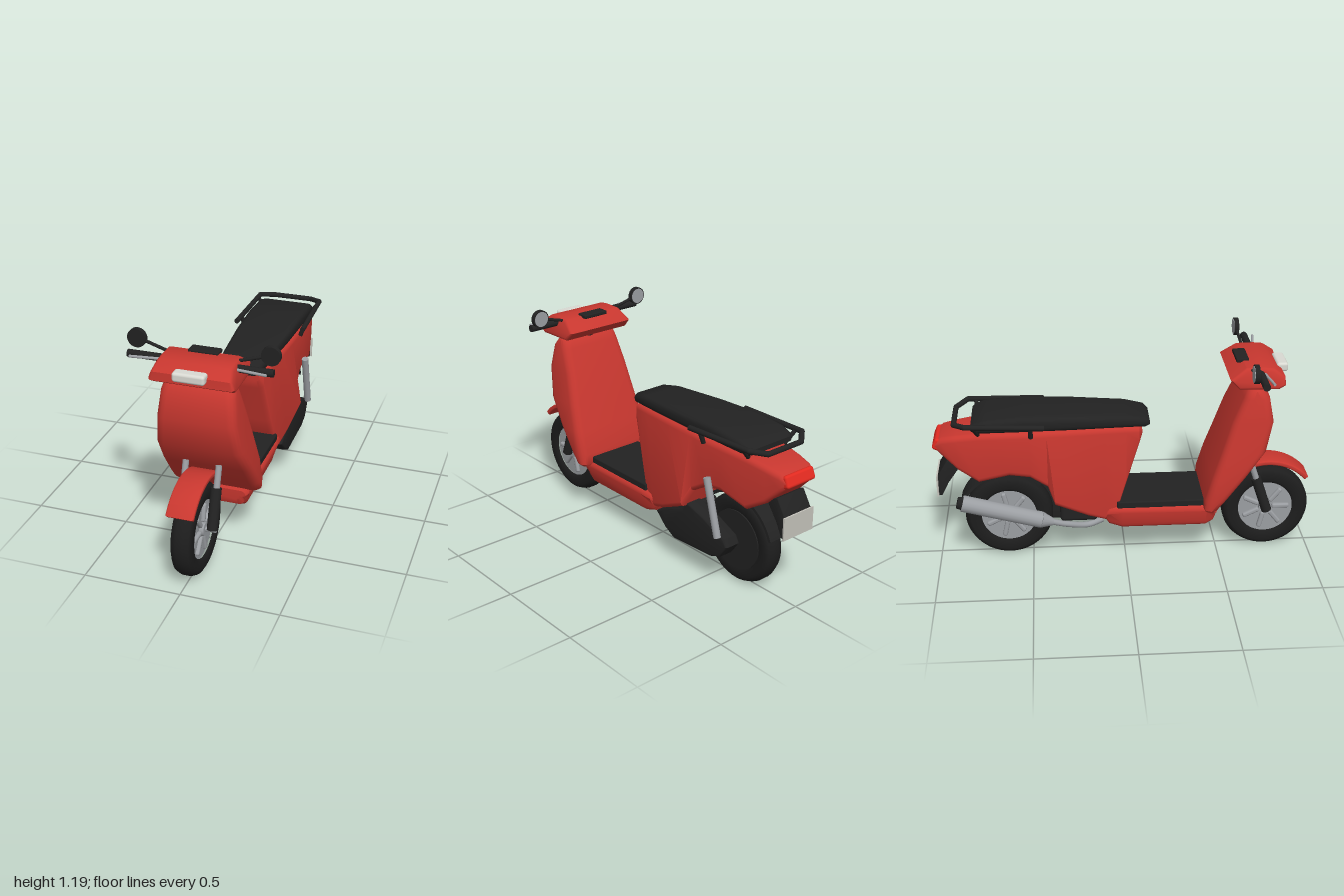
import * as THREE from 'three';
import { toCreasedNormals } from 'three/addons/utils/BufferGeometryUtils.js';
import { RoundedBoxGeometry } from 'three/addons/geometries/RoundedBoxGeometry.js';

const paint = (name, color) => {
  const m = new THREE.MeshStandardMaterial({ color });
  m.name = name;
  return m;
};

export function createModel() {
  const red = paint('red paint', 0xc8372f);
  const black = paint('black plastic', 0x222222);
  const rubber = paint('tyre rubber', 0x1d1d1d);
  const silver = paint('silver metal', 0x9b9ea2);
  const lamp = paint('headlight lens', 0xd9d9d2);
  const plateGrey = paint('plate grey', 0xc4c2ba);
  const tailRed = paint('tail light lens', 0xe22a20);

  const root = new THREE.Group();
  root.name = 'scooter';
  const add = (name, geo, mat, x = 0, y = 0, z = 0, parent = root) => {
    const m = new THREE.Mesh(geo, mat);
    m.name = name;
    m.position.set(x, y, z);
    parent.add(m);
    return m;
  };
  const V = (x, y, z) => new THREE.Vector3(x, y, z);

  // Rod between two points
  const rod = (name, a, b, r, mat, r2 = r, parent = root) => {
    const m = add(name, new THREE.CylinderGeometry(r2, r, a.distanceTo(b), 16), mat, 0, 0, 0, parent);
    m.position.copy(a).add(b).multiplyScalar(0.5);
    m.quaternion.setFromUnitVectors(V(0, 1, 0), b.clone().sub(a).normalize());
    return m;
  };

  // Rounded trapezoid outline: v0..v1, half widths w0 (at v0) and w1 (at v1)
  const section = (v0, v1, w0, w1, r) => {
    r = Math.min(r, (v1 - v0) * 0.48);
    const corners = [[w0 - r, v0 + r, -90], [w1 - r, v1 - r, 0], [r - w1, v1 - r, 90], [r - w0, v0 + r, 180]];
    return corners.flatMap(([u, v, a]) => [0, 1, 2, 3, 4].map(i => {
      const t = THREE.MathUtils.degToRad(a + i * 22.5);
      return [u + r * Math.cos(t), v + r * Math.sin(t)];
    }));
  };

  // Closed skin through a list of equal-length rings, wound outwards
  const loft = (rings, crease = 0.6) => {
    const n = rings[0].length, pos = rings.flat(2), idx = [];
    for (let j = 0; j < rings.length - 1; j++) for (let i = 0; i < n; i++) {
      const a = j * n + i, b = j * n + (i + 1) % n;
      idx.push(a, b, a + n, b, b + n, a + n);
    }
    const last = (rings.length - 1) * n;
    for (let i = 1; i < n - 1; i++) idx.push(0, i + 1, i, last, last + i, last + i + 1);
    let volume = 0;
    const p = k => V(pos[3 * k], pos[3 * k + 1], pos[3 * k + 2]);
    for (let i = 0; i < idx.length; i += 3) volume += p(idx[i]).dot(p(idx[i + 1]).cross(p(idx[i + 2])));
    if (volume < 0) idx.reverse();
    const g = new THREE.BufferGeometry();
    g.setAttribute('position', new THREE.Float32BufferAttribute(pos, 3));
    g.setIndex(idx);
    return toCreasedNormals(g, crease);
  };
  // Stations along z: [z, yBottom, yTop, halfBottom, halfTop]
  const loftZ = (rows, r, crease) => loft(rows.map(([z, y0, y1, w0, w1 = w0]) =>
    section(y0, y1, w0, w1, r).map(([x, y]) => [x, y, z])), crease);

  // Side profile in (z, y), extruded across x and centred
  const sideExtrude = (shape, width, bevel = 0) => {
    const g = new THREE.ExtrudeGeometry(shape, {
      depth: width - 2 * bevel, curveSegments: 24, bevelEnabled: bevel > 0,
      bevelThickness: bevel, bevelSize: bevel, bevelOffset: -bevel, bevelSegments: 3,
    });
    g.translate(0, 0, bevel - width / 2).rotateY(-Math.PI / 2);
    return toCreasedNormals(g, 0.6);
  };
  const poly = pts => new THREE.Shape(pts.map(([z, y]) => new THREE.Vector2(z, y)));
  const arcShape = (r0, r1, a0, a1) => {
    const s = new THREE.Shape(), d = THREE.MathUtils.degToRad;
    s.absarc(0, 0, r1, d(a0), d(a1), false);
    s.absarc(0, 0, r0, d(a1), d(a0), true);
    return s;
  };

  // Wheels
  const tyreProfile = [[0.148, -0.04], [0.165, -0.052], [0.205, -0.053], [0.224, -0.043], [0.235, -0.018],
    [0.235, 0.018], [0.224, 0.043], [0.205, 0.053], [0.165, 0.052], [0.148, 0.04]];
  for (const [name, z] of [['frontWheel', 0.765], ['rearWheel', -0.623]]) {
    const w = new THREE.Group();
    w.name = name;
    w.position.set(0, 0.237, z);
    root.add(w);
    const tyre = new THREE.LatheGeometry(tyreProfile.map(([r, y]) => new THREE.Vector2(r, y)), 48);
    add('tyre', tyre.rotateZ(Math.PI / 2), rubber, 0, 0, 0, w);
    add('rim', new THREE.CylinderGeometry(0.158, 0.158, 0.056, 40).rotateZ(Math.PI / 2), silver, 0, 0, 0, w);
    add('hub', new THREE.CylinderGeometry(0.035, 0.035, 0.1, 24).rotateZ(Math.PI / 2), silver, 0, 0, 0, w);
    for (let i = 0; i < 7; i++) {
      const spoke = new RoundedBoxGeometry(0.09, 0.026, 0.095, 2, 0.01).translate(0, 0, 0.085);
      add('spoke', spoke.rotateX(i * Math.PI * 2 / 7), silver, 0, 0, 0, w);
    }
    if (z < 0) add('driveCover', new THREE.CylinderGeometry(0.16, 0.16, 0.02, 40).rotateZ(Math.PI / 2), black, 0.045, 0, 0, w);
  }

  // Front fork and mudguard
  for (const s of [1, -1]) {
    rod('forkTube', V(s * 0.085, 0.38, 0.718), V(s * 0.085, 0.545, 0.662), 0.016, silver);
    rod('forkSleeve', V(s * 0.083, 0.24, 0.765), V(s * 0.083, 0.44, 0.697), 0.027, black);
  }
  rod('frontAxle', V(-0.105, 0.24, 0.765), V(0.105, 0.24, 0.765), 0.012, silver);
  add('frontMudguard', sideExtrude(arcShape(0.262, 0.288, 40, 118), 0.14, 0.008), red, 0, 0.24, 0.765);

  // Leg shield: [y, zBack, zFront, half width]
  const shield = [[0.31, 0.415, 0.465, 0.215], [0.325, 0.407, 0.48, 0.232], [0.38, 0.41, 0.525, 0.238],
    [0.51, 0.447, 0.622, 0.235], [0.65, 0.494, 0.722, 0.22], [0.81, 0.545, 0.757, 0.2],
    [0.94, 0.6, 0.733, 0.186], [0.982, 0.617, 0.705, 0.174], [0.998, 0.64, 0.68, 0.15]];
  add('legShield', loft(shield.map(([y, z0, z1, w]) =>
    section(z0, z1, w, w, 0.045).map(([x, z]) => [x, y, z])), 0.7), red);
  rod('steeringColumn', V(0, 0.96, 0.66), V(0, 1.03, 0.65), 0.04, black);

  // Handlebar housing, narrowing upwards
  const housing = sideExtrude(poly([[0.52, 1.055], [0.565, 1.008], [0.765, 1.004], [0.8, 1.025], [0.797, 1.068],
    [0.74, 1.108], [0.69, 1.114], [0.6, 1.112]]), 0.42, 0.015);
  const hp = housing.attributes.position;
  for (let i = 0; i < hp.count; i++) hp.setX(i, hp.getX(i) * (1 - Math.max(0, hp.getY(i) - 1.03) * 1.6));
  housing.deleteAttribute('normal');
  add('handlebarHousing', toCreasedNormals(housing, 0.6), red);
  add('headlight', new RoundedBoxGeometry(0.16, 0.048, 0.06, 3, 0.014), lamp, 0, 1.07, 0.803);
  add('display', new RoundedBoxGeometry(0.15, 0.02, 0.065, 2, 0.005), black, 0, 1.112, 0.597);

  // Grips, levers and mirrors
  for (const s of [1, -1]) {
    rod('grip', V(s * 0.17, 1.083, 0.672), V(s * 0.358, 1.083, 0.672), 0.019, black);
    rod('brakeLever', V(s * 0.19, 1.085, 0.692), V(s * 0.335, 1.088, 0.715), 0.007, silver);
    rod('mirrorStalk', V(s * 0.17, 1.1, 0.63), V(s * 0.31, 1.14, 0.622), 0.008, black);
    add('mirrorShell', new THREE.CylinderGeometry(0.047, 0.047, 0.024, 32).rotateX(Math.PI / 2), black, s * 0.33, 1.145, 0.622);
    add('mirrorGlass', new THREE.CylinderGeometry(0.041, 0.041, 0.004, 32).rotateX(Math.PI / 2), silver, s * 0.33, 1.145, 0.609);
  }

  // Floor and mat
  add('floorBody', loftZ([[0.482, 0.25, 0.305, 0.135, 0.16], [0.465, 0.215, 0.325, 0.15, 0.175], [0.425, 0.193, 0.335, 0.155, 0.18],
    [-0.02, 0.19, 0.335, 0.15, 0.175], [-0.09, 0.212, 0.33, 0.145, 0.17], [-0.118, 0.255, 0.305, 0.135, 0.155]], 0.035), red);
  add('floorMat', new RoundedBoxGeometry(0.33, 0.04, 0.48, 2, 0.008), black, 0, 0.342, 0.19);

  // Rear body with flared lower sides ahead of the wheel arch
  add('rearBody', loftZ([[0.085, 0.725, 0.765, 0.105], [0.07, 0.68, 0.778, 0.125], [0, 0.455, 0.782, 0.143, 0.135],
    [-0.04, 0.325, 0.782, 0.153, 0.138], [-0.11, 0.25, 0.782, 0.162, 0.142], [-0.2, 0.283, 0.78, 0.177, 0.146],
    [-0.375, 0.37, 0.776, 0.204, 0.15], [-0.41, 0.46, 0.775, 0.168, 0.15], [-0.5, 0.515, 0.772, 0.16, 0.15],
    [-0.607, 0.528, 0.77, 0.155, 0.146], [-0.767, 0.488, 0.764, 0.143, 0.137], [-0.874, 0.555, 0.75, 0.122, 0.124],
    [-0.95, 0.63, 0.737, 0.105, 0.11], [-0.985, 0.665, 0.71, 0.09, 0.095]], 0.03), red);

  // Seat
  add('seat', loftZ([[0.126, 0.775, 0.795, 0.09], [0.1, 0.765, 0.82, 0.11], [0, 0.77, 0.838, 0.126], [-0.3, 0.775, 0.851, 0.148],
    [-0.527, 0.775, 0.857, 0.155], [-0.72, 0.775, 0.845, 0.157], [-0.775, 0.775, 0.828, 0.15], [-0.795, 0.785, 0.81, 0.135]], 0.028, 0.8), black);

  // Grab rail around the back of the seat
  const rail = new THREE.Group();
  rail.name = 'grabRail';
  root.add(rail);
  const railPts = [[0.19, 0.82, -0.42], [0.178, 0.83, -0.82], [0.11, 0.815, -0.88]];
  for (const s of [1, -1]) {
    const p = railPts.map(([x, y, z]) => V(s * x, y, z));
    rod('railSide', p[0], p[1], 0.014, black, 0.014, rail);
    rod('railCorner', p[1], p[2], 0.014, black, 0.014, rail);
    p.slice(1).forEach(q => add('railJoint', new THREE.SphereGeometry(0.014, 12, 8), black, q.x, q.y, q.z, rail));
    rod('railBracket', V(s * 0.184, 0.82, -0.49), V(s * 0.16, 0.755, -0.49), 0.012, black, 0.012, rail);
    rod('railBrace', V(s * 0.178, 0.825, -0.78), V(s * 0.12, 0.76, -0.76), 0.011, black, 0.011, rail);
  }
  rod('railBack', V(-0.11, 0.815, -0.88), V(0.11, 0.815, -0.88), 0.014, black, 0.014, rail);

  // Tail light, plate holder and plate
  const light = add('tailLight', new RoundedBoxGeometry(0.19, 0.065, 0.055, 3, 0.014), tailRed, 0, 0.693, -0.967);
  light.rotation.x = 0.4;
  add('plateHolder', sideExtrude(poly([[-0.86, 0.57], [-0.93, 0.6], [-0.982, 0.515], [-0.982, 0.4], [-0.965, 0.4], [-0.93, 0.47]]), 0.18, 0.004), black);
  add('plate', new THREE.BoxGeometry(0.2, 0.12, 0.008), plateGrey, 0, 0.457, -0.987);

  // Rear hugger
  add('rearHugger', sideExtrude(arcShape(0.252, 0.268, 48, 160), 0.13), black, 0, 0.237, -0.623);

  // Engine case and shock absorber on the left
  add('engineCase', sideExtrude(poly([[-0.136, 0.245], [-0.206, 0.175], [-0.275, 0.137], [-0.553, 0.15], [-0.623, 0.175],
    [-0.672, 0.245], [-0.65, 0.285], [-0.5, 0.35], [-0.377, 0.383], [-0.34, 0.335], [-0.2, 0.285]]), 0.095, 0.012), black, 0.118);
  add('engineBlock', new RoundedBoxGeometry(0.16, 0.13, 0.2, 2, 0.02), black, 0, 0.27, -0.25);
  rod('shockBody', V(0.178, 0.29, -0.62), V(0.178, 0.59, -0.538), 0.019, silver);
  rod('rearAxle', V(-0.1, 0.237, -0.623), V(0.14, 0.237, -0.623), 0.014, silver);

  // Exhaust on the right
  const pipe = new THREE.CatmullRomCurve3([V(-0.05, 0.2, -0.12), V(-0.07, 0.18, -0.2), V(-0.12, 0.215, -0.31), V(-0.155, 0.26, -0.42)]);
  add('exhaustPipe', new THREE.TubeGeometry(pipe, 20, 0.016, 12), silver);
  rod('mufflerCone', V(-0.15, 0.25, -0.39), V(-0.155, 0.268, -0.45), 0.02, silver, 0.044);
  rod('muffler', V(-0.155, 0.268, -0.45), V(-0.165, 0.388, -0.86), 0.044, silver);
  rod('mufflerTip', V(-0.165, 0.386, -0.855), V(-0.166, 0.394, -0.885), 0.036, black, 0.03);

  return root;
}
